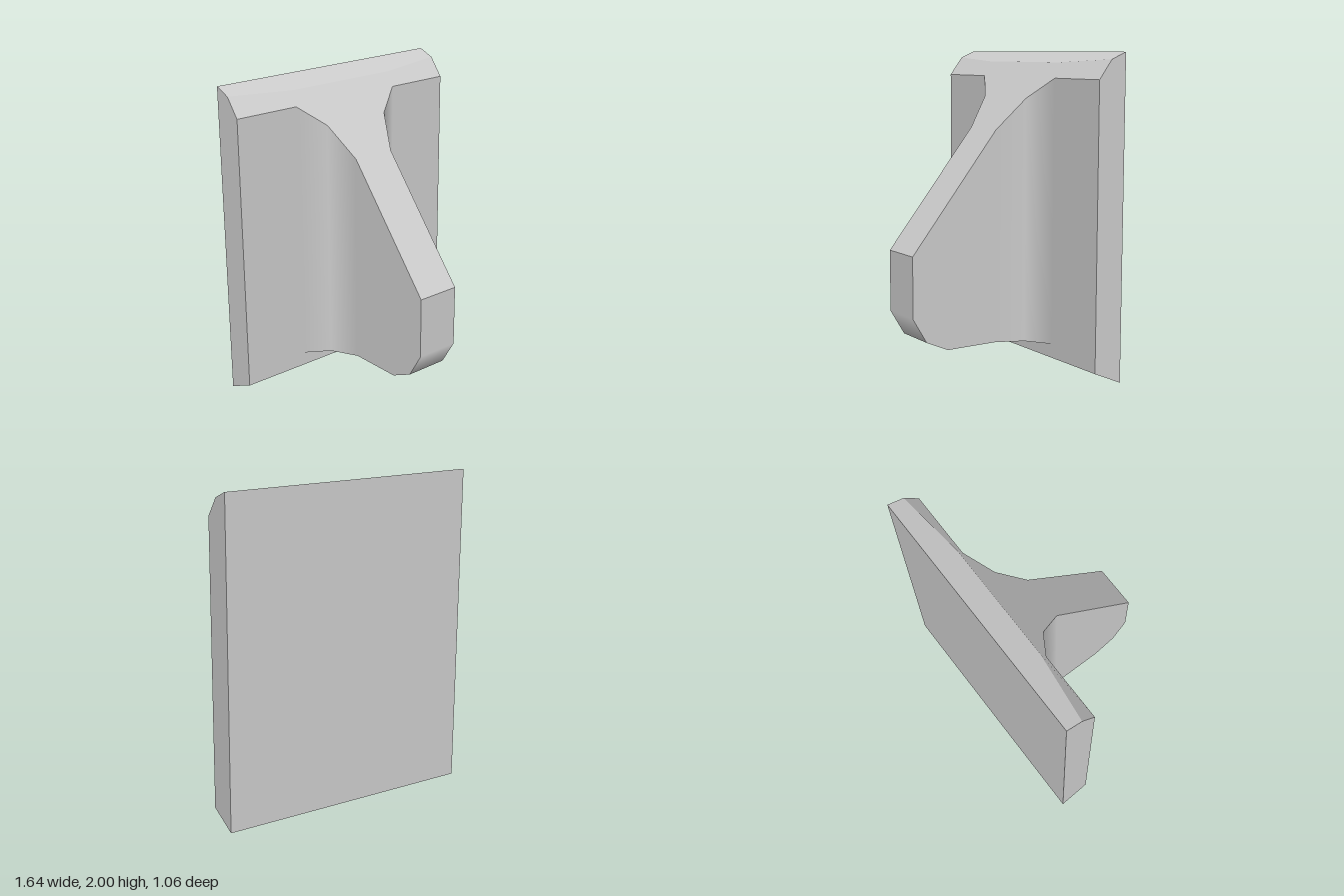
import * as THREE from 'three';
import { mergeGeometries } from 'three/addons/utils/BufferGeometryUtils.js';

// Ribbon of quads between two rows of points; optional normals are given per column
function strip(a, b, normals) {
  const index = [];
  for (let i = 0; i < a.length - 1; i++) {
    const n = a.length;
    index.push(i, i + 1, n + i + 1, i, n + i + 1, n + i);
  }
  let g = new THREE.BufferGeometry();
  g.setAttribute('position', new THREE.Float32BufferAttribute([...a, ...b].flat(), 3));
  g.setIndex(index);
  if (normals) {
    const list = [...normals, ...normals].map((n) => new THREE.Vector3(...n).normalize().toArray());
    g.setAttribute('normal', new THREE.Float32BufferAttribute(list.flat(), 3));
  }
  g = g.toNonIndexed();
  if (!normals) g.computeVertexNormals();
  return g;
}

const mirror = (row) => row.map(([x, y, z]) => [-x, y, z]);
const SLOPE = [0, 0.64, 0.77];
const BACK = -0.53, FACE = -0.335, HALF = 0.82;

function plateGeometry() {
  const across = (y, z) => [[-HALF, y, z], [HALF, y, z]];
  // Chamfer rows, bowed forward over the rib
  const ridge = [[-HALF, 1.957, -0.425], [-0.38, 1.935, -0.37], [0.38, 1.935, -0.37], [HALF, 1.957, -0.425]];
  const xs = [-HALF, -0.39, 0.39, HALF];
  const row = (y, z) => xs.map((x) => [x, y, z]);
  // End face, front to back
  const endLow = [[HALF, 0.085, FACE], [HALF, 0.046, -0.425], [HALF, 0, BACK]];
  const endHigh = [[HALF, 1.84, FACE], [HALF, 1.957, -0.425], [HALF, 2, BACK]];
  return mergeGeometries([
    strip(across(0.085, FACE), across(1.84, FACE)), // front
    strip(across(2, BACK), across(0, BACK)), // back
    strip(across(0, BACK), across(0.085, FACE)), // underside
    strip(row(1.84, FACE), ridge, xs.map(() => SLOPE)), // lower chamfer
    strip(ridge, row(2, BACK)), // upper chamfer
    strip(endLow, endHigh),
    strip(mirror(endHigh), mirror(endLow)),
  ]);
}

function ribGeometry() {
  // Stations front to back: z, bottom, top, half width, side normal
  const stations = [
    [0.53, 0.395, 0.78, 0.142, [1, 0, 0]],
    [0.435, 0.237, 0.897, 0.142, [1, 0, 0]],
    [0.285, 0.17, 1.082, 0.142, [1, 0, 0]],
    [-0.07, 0.17, 1.52, 0.142, [1, 0, 0]],
    [-0.235, 0.173, 1.715, 0.23, [0.72, 0, 0.69]],
    [FACE, 0.175, 1.84, 0.39, [0, 0, 1]],
  ];
  const low = stations.map(([z, y, , w]) => [w, y, z]);
  const high = stations.map(([z, , y, w]) => [w, y, z]);
  const normals = stations.map((s) => s[4]);
  // Front face, rounded toe and underside as one ribbon
  const nose = [high[0], ...low];
  const down = [0, -1, 0];
  const noseNormals = [[0, 0, 1], [0, 0, 1], [0, -0.75, 0.66], down, down, down, down];
  return mergeGeometries([
    strip(low, high, normals),
    strip(mirror(high), mirror(low), mirror(normals)),
    strip(high, mirror(high), stations.map(() => SLOPE)), // sloping top
    strip(mirror(nose), nose, noseNormals),
  ]);
}

export function createModel() {
  const group = new THREE.Group();
  group.name = 'ribbedPlate';
  const material = new THREE.MeshStandardMaterial({ color: 0xcccccc });
  const parts = { backPlate: plateGeometry(), flaredRib: ribGeometry() };
  for (const [name, geometry] of Object.entries(parts)) {
    const mesh = new THREE.Mesh(geometry, material);
    mesh.name = name;
    group.add(mesh);
  }
  return group;
}
